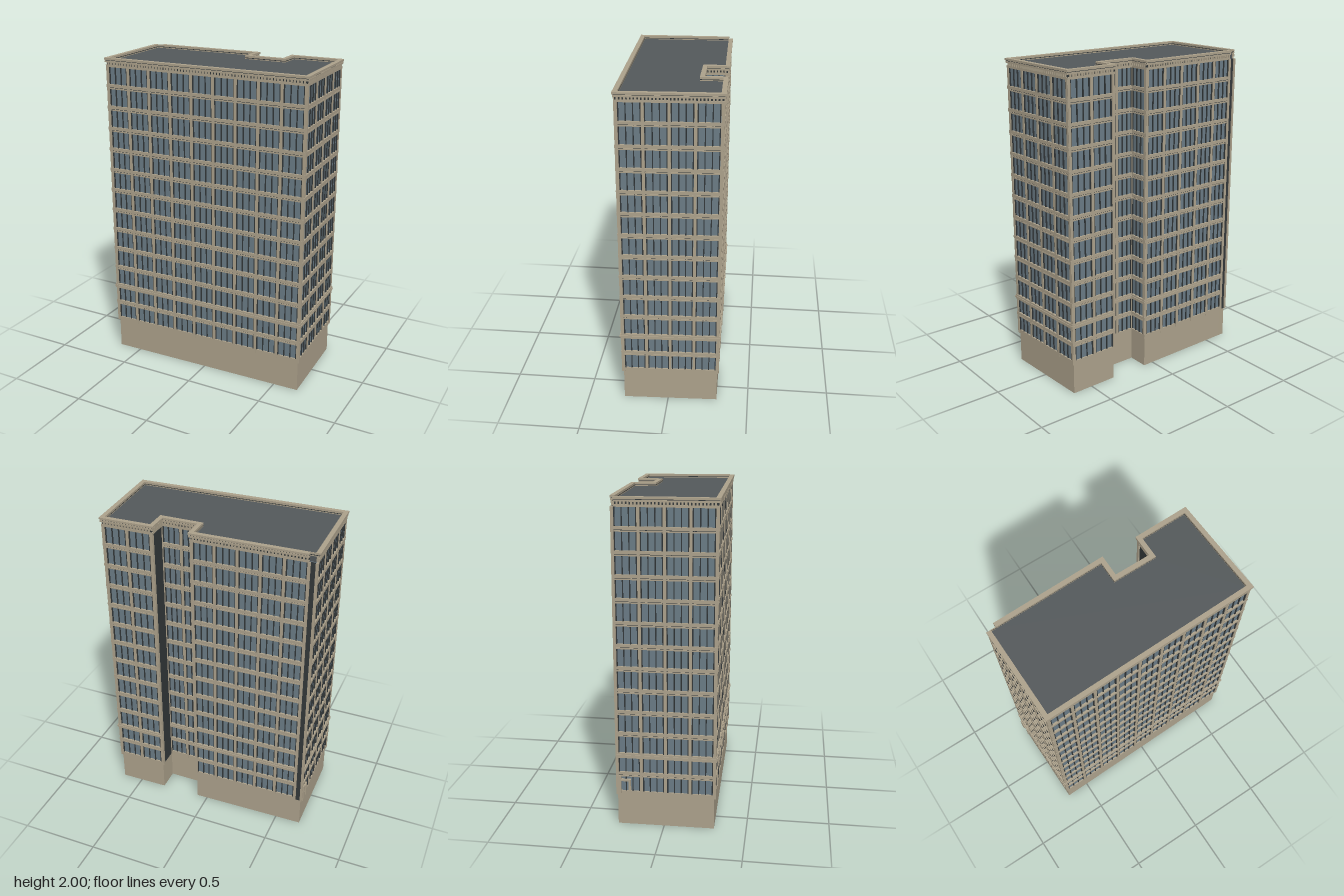
import * as THREE from 'three';
import { mergeGeometries } from 'three/addons/utils/BufferGeometryUtils.js';

// Footprint corners [x, z, bays on the edge that starts here]; 0 = blank wall, -1 = bare recess
const PLAN = [
  [-0.655, 0.305, 9], [0.66, 0.275, 4], [0.635, -0.305, 2], [0.325, -0.30, 0],
  [0.325, -0.165, 2], [0.07, -0.165, 1], [0.07, -0.298, 5], [-0.622, -0.284, -1], [-0.663, -0.283, 4],
];
const BASE_TOP = 0.2, WALL_TOP = 1.945, FLOOR = 0.1363;

const material = (name, color) => {
  const m = new THREE.MeshStandardMaterial({ color });
  m.name = name;
  return m;
};

// Edges with direction, outward normal and length
const EDGES = PLAN.map(([x, z, bays], i) => {
  const [x2, z2] = PLAN[(i + 1) % PLAN.length];
  const len = Math.hypot(x2 - x, z2 - z);
  const dx = (x2 - x) / len, dz = (z2 - z) / len;
  return { x, z, dx, dz, nx: -dz, nz: dx, len, bays };
});

// Footprint pushed outward by a distance chosen per edge (mitred, or stepped where edges are in line)
function outline(distance) {
  const pts = [];
  EDGES.forEach((e, i) => {
    const p = EDGES[(i + EDGES.length - 1) % EDGES.length];
    const a = distance(p), b = distance(e);
    const cross = p.dx * e.dz - p.dz * e.dx;
    if (Math.abs(cross) < 0.1) {
      pts.push([e.x + p.nx * a, e.z + p.nz * a]);
      if (Math.abs(a - b) > 1e-6) pts.push([e.x + e.nx * b, e.z + e.nz * b]);
    } else {
      const det = p.nx * e.nz - p.nz * e.nx;
      pts.push([e.x + (a * e.nz - b * p.nz) / det, e.z + (b * p.nx - a * e.nx) / det]);
    }
  });
  return pts.map(([x, z]) => new THREE.Vector2(x, -z));
}

// Extruded footprint between two heights, optionally hollow
function slab(name, mat, y0, y1, outer, inner) {
  const shape = new THREE.Shape(outline(outer));
  if (inner) shape.holes.push(new THREE.Path(outline(inner)));
  const g = new THREE.ExtrudeGeometry(shape, { depth: y1 - y0, bevelEnabled: false });
  g.rotateX(-Math.PI / 2).translate(0, y0, 0);
  const mesh = new THREE.Mesh(g, mat);
  mesh.name = name;
  return mesh;
}

// Upright box standing on an edge at distance t along it
function edgeBox(e, t, width, y0, y1, out, inset = 0.004) {
  const g = new THREE.BoxGeometry(width, y1 - y0, out + inset);
  g.translate(0, (y0 + y1) / 2, (out - inset) / 2);
  g.rotateY(Math.atan2(-e.dz, e.dx));
  return g.translate(e.x + e.dx * t, 0, e.z + e.dz * t);
}

export function createModel() {
  const stone = material('stone', 0xada28c);
  const glass = material('glass', 0x6b7c86);
  const dark = material('dark metal', 0x33383a);
  const roofing = material('roofing', 0x54595b);

  const building = new THREE.Group();
  building.name = 'building';
  const merged = (name, list, mat) => {
    const mesh = new THREE.Mesh(mergeGeometries(list), mat);
    mesh.name = name;
    building.add(mesh);
  };
  const flush = (d) => () => d;
  const facadeOnly = (d) => (e) => (e.bays > 0 ? d : 0);
  const cornice = (d) => (e) => (e.bays < 0 ? -0.008 : d);

  // Plinth, glazed body and roof deck
  building.add(slab('base', stone, 0, BASE_TOP, flush(0)));
  building.add(slab('glazing', glass, BASE_TOP, WALL_TOP, flush(0)));
  building.add(slab('roof', roofing, WALL_TOP, 1.978, flush(-0.006)));

  // Floor bands, with a dark reveal under each
  const band = (name, y0, y1, d) => building.add(slab(name, stone, y0, y1, facadeOnly(d), flush(-0.003)));
  band('sillBand', BASE_TOP, 0.225, 0.009);
  for (let i = 0; i < 12; i++) {
    const y = 0.337 + (i < 2 ? i * 0.123 : 0.123 + (i - 1) * FLOOR);
    if (i === 1) {
      band('beltCourse', 0.442, 0.474, 0.014);
      band('beltLip', 0.455, 0.463, 0.018);
    } else {
      band('floorBand', y - 0.006, y + 0.013, 0.012);
      band('floorBandLower', y - 0.018, y - 0.01, 0.009);
      building.add(slab('bandReveal', dark, y - 0.01, y - 0.006, facadeOnly(0.006), flush(-0.003)));
    }
  }

  // Piers, mullions, blank walls and dentils along each edge
  const piers = [], mullions = [], blanks = [], dentils = [];
  for (const e of EDGES) {
    if (e.bays <= 0) blanks.push(edgeBox(e, e.len / 2, e.len, BASE_TOP, WALL_TOP, 0.003));
    const bay = e.len / Math.max(e.bays, 1);
    for (let i = 0; i <= e.bays; i++) {
      piers.push(edgeBox(e, i * bay, 0.017, BASE_TOP, WALL_TOP, 0.011));
      if (i === e.bays) break;
      for (const f of [0.085, 0.36, 0.64, 0.915]) {
        mullions.push(edgeBox(e, (i + f) * bay, 0.006, 0.225, WALL_TOP, 0.007));
      }
    }
    if (e.bays >= 0) {
      const n = Math.round(e.len / 0.02);
      for (let i = 0; i < n; i++) {
        dentils.push(edgeBox(e, ((i + 0.5) * e.len) / n, 0.011, 1.957, 1.972, 0.014));
      }
    }
  }
  merged('piers', piers, stone);
  merged('mullions', mullions, dark);
  merged('blankWalls', blanks, dark);
  merged('dentils', dentils, stone);

  // Cornice and parapet
  building.add(slab('corniceLower', stone, 1.943, 1.957, cornice(0.011), flush(-0.01)));
  building.add(slab('corniceRecess', dark, 1.957, 1.972, cornice(0.006), flush(-0.01)));
  building.add(slab('corniceUpper', stone, 1.972, 1.983, cornice(0.015), flush(-0.01)));
  building.add(slab('corniceGroove', dark, 1.983, 1.987, cornice(0.012), flush(-0.01)));
  building.add(slab('parapetCap', stone, 1.987, 2, cornice(0.018), flush(-0.01)));

  // Small surround at the foot of the left wall
  const left = EDGES[EDGES.length - 1];
  merged('cornerSurround', [
    edgeBox(left, 0.012, 0.022, BASE_TOP, 0.325, 0.018),
    edgeBox(left, 0.075, 0.014, BASE_TOP, 0.3, 0.016),
    edgeBox(left, 0.045, 0.07, 0.29, 0.302, 0.016),
  ], stone);

  return building;
}
